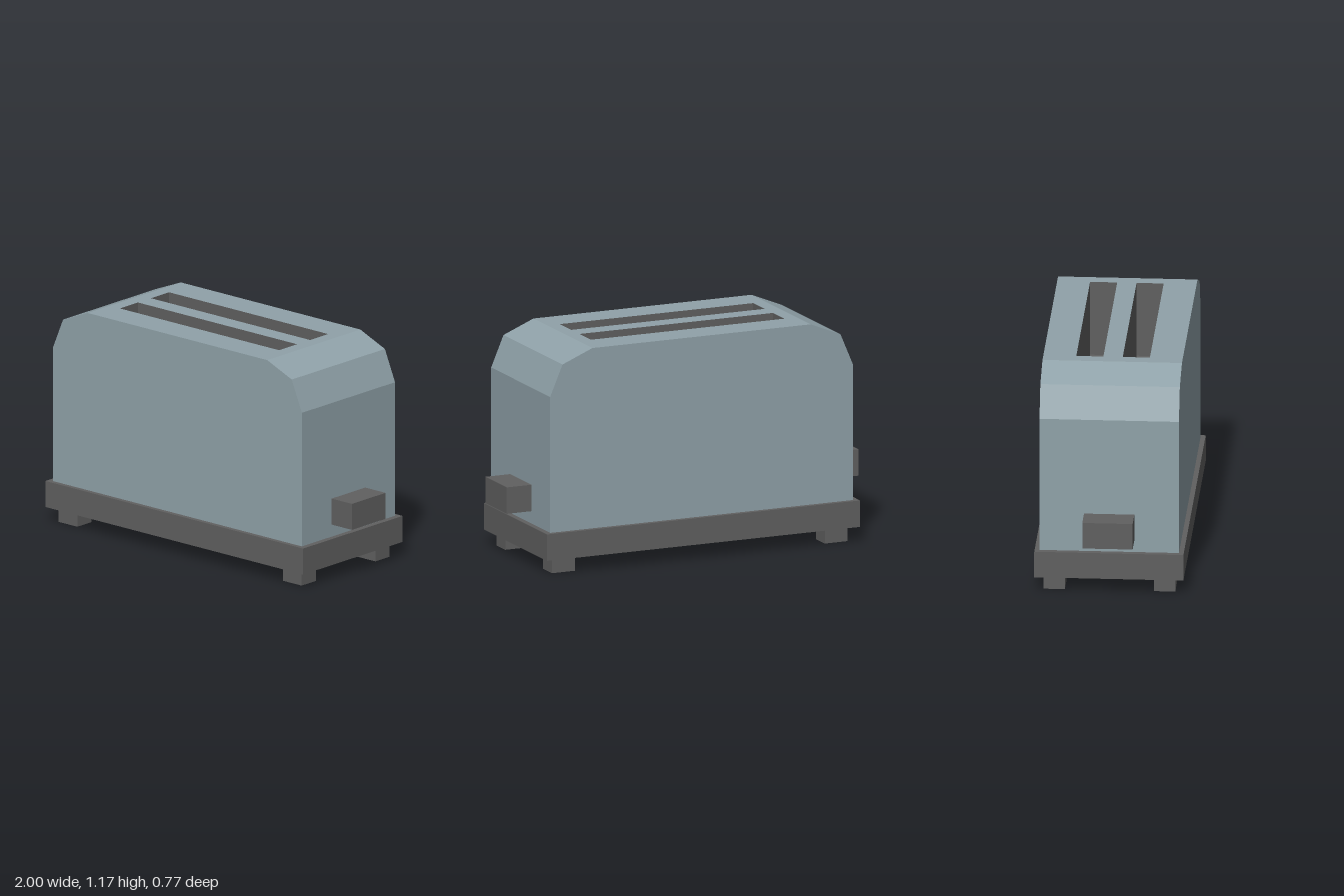
import * as THREE from 'three';

const HALF_DEPTH = 0.36;
const TOP = 1.175;
const SHOULDER = 0.62;
const SLOT = { length: 1.1, width: 0.14, depth: 0.4, z: 0.12 };

const metal = new THREE.MeshStandardMaterial({ color: 0x90a2a9, flatShading: true });
const dark = new THREE.MeshStandardMaterial({ color: 0x606060, flatShading: true });
const liner = new THREE.MeshStandardMaterial({ color: 0x606060, flatShading: true, side: THREE.DoubleSide });

function add(parent, name, geometry, material, x = 0, y = 0, z = 0) {
  const mesh = new THREE.Mesh(geometry, material);
  mesh.name = name;
  mesh.position.set(x, y, z);
  parent.add(mesh);
  return mesh;
}

// Rectangle as counter-clockwise points
function rect(w, h, cy = 0) {
  return [[-1, -1], [1, -1], [1, 1], [-1, 1]].map(([x, y]) => new THREE.Vector2(x * w / 2, cy + y * h / 2));
}

// Strip of quads running front to back along a profile
function sweep(points) {
  const pos = [];
  for (let i = 0; i < points.length - 1; i++) {
    const [ax, ay] = points[i], [bx, by] = points[i + 1], d = HALF_DEPTH;
    pos.push(ax, ay, d, ax, ay, -d, bx, by, -d, ax, ay, d, bx, by, -d, bx, by, d);
  }
  const g = new THREE.BufferGeometry();
  g.setAttribute('position', new THREE.Float32BufferAttribute(pos, 3));
  g.computeVertexNormals();
  return g;
}

function createBody() {
  const body = new THREE.Group();
  body.name = 'body';

  // Chamfered end profiles, bottom to top on the left, mirrored for the right
  const leftEnd = [[0.86, 0.2], [0.86, 0.94], [0.79, 1.105], [SHOULDER, TOP]];
  const rightEnd = leftEnd.map(([x, y]) => [-x, y]).reverse();
  add(body, 'leftEnd', sweep(leftEnd), metal);
  add(body, 'rightEnd', sweep(rightEnd), metal);

  // Front and back panels
  const panel = new THREE.Shape([...leftEnd, ...rightEnd].map(([x, y]) => new THREE.Vector2(x, y)));
  add(body, 'frontPanel', new THREE.ShapeGeometry(panel), metal, 0, 0, HALF_DEPTH);
  add(body, 'backPanel', new THREE.ShapeGeometry(panel), metal, 0, 0, -HALF_DEPTH).rotation.y = Math.PI;

  // Top with two slot openings
  const top = new THREE.Shape(rect(2 * SHOULDER, 2 * HALF_DEPTH));
  for (const s of [-1, 1]) top.holes.push(new THREE.Path(rect(SLOT.length, SLOT.width, s * SLOT.z).reverse()));
  add(body, 'topPanel', new THREE.ShapeGeometry(top).rotateX(-Math.PI / 2), metal, 0, TOP, 0);

  // Slot wells: boxes without their upper face
  for (const s of [-1, 1]) {
    const well = new THREE.BoxGeometry(SLOT.length, SLOT.depth, SLOT.width);
    const index = Array.from(well.index.array);
    index.splice(12, 6);
    well.setIndex(index);
    well.clearGroups();
    add(body, s > 0 ? 'frontSlot' : 'backSlot', well, liner, 0, TOP - SLOT.depth / 2, s * SLOT.z);
  }
  return body;
}

export function createModel() {
  const model = new THREE.Group();
  model.name = 'toaster';
  model.add(createBody());

  add(model, 'base', new THREE.BoxGeometry(1.78, 0.14, 0.77), dark, 0, 0.15, 0);

  for (const sx of [-1, 1]) {
    const side = sx > 0 ? 'left' : 'right';
    // Lever knob on each end
    add(model, side + 'Lever', new THREE.BoxGeometry(0.14, 0.14, 0.26), dark, sx * 0.93, 0.355, 0);
    // Feet
    for (const sz of [-1, 1]) {
      add(model, side + (sz > 0 ? 'Front' : 'Back') + 'Foot',
        new THREE.BoxGeometry(0.13, 0.08, 0.11), dark, sx * 0.775, 0.04, sz * 0.285);
    }
  }
  return model;
}
